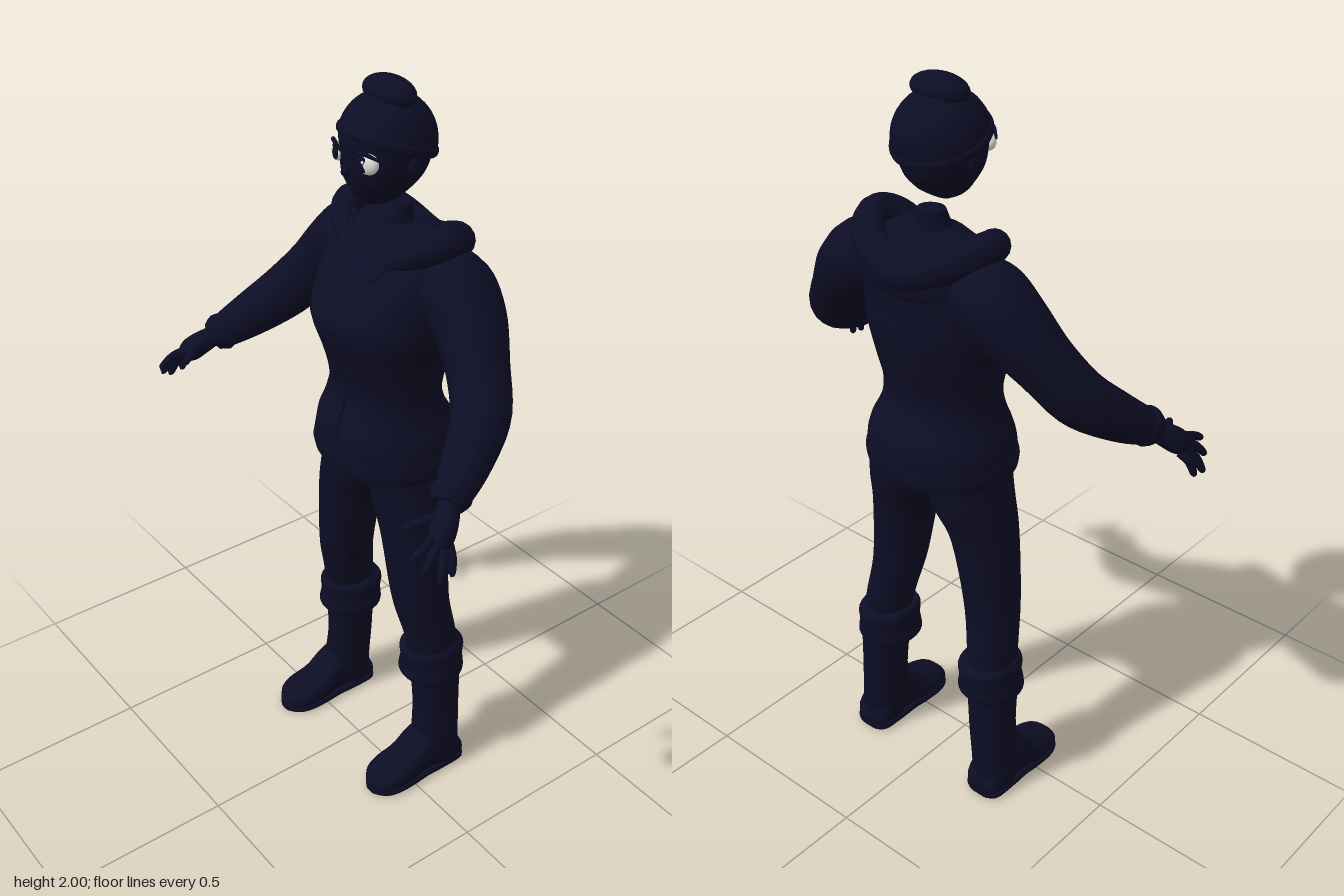
import * as THREE from 'three';
import { toCreasedNormals } from 'three/addons/utils/BufferGeometryUtils.js';

const V = (x, y, z) => new THREE.Vector3(x, y, z);
const navy = new THREE.MeshStandardMaterial({ color: 0x0d0d25 });
navy.name = 'navy';
const white = new THREE.MeshStandardMaterial({ color: 0xe6e4dc });
white.name = 'eye white';

// smooth every column of a table of sections
function spline(rows, n) {
  const curves = rows[0].map((_, k) => new THREE.SplineCurve(rows.map((r, i) => new THREE.Vector2(i, r[k]))));
  return Array.from({ length: n + 1 }, (_, i) => curves.map((c) => c.getPoint(i / n).y));
}

// skin over rings {c, u, v}, closed at both ends; e below 1 squares the rings
function loft(rings, sides = 24, e = 1) {
  const pos = [], idx = [], pw = (a) => Math.sign(a) * Math.abs(a) ** e;
  for (const { c, u, v } of rings)
    for (let j = 0; j < sides; j++) {
      const a = (j / sides) * Math.PI * 2;
      const p = c.clone().addScaledVector(u, pw(Math.cos(a))).addScaledVector(v, pw(Math.sin(a)));
      pos.push(p.x, p.y, p.z);
    }
  const last = rings.length - 1, end = rings.length * sides;
  pos.push(...rings[0].c.toArray(), ...rings[last].c.toArray());
  for (let j = 0; j < sides; j++) {
    const k = (j + 1) % sides;
    for (let i = 0; i < last; i++) {
      const a = i * sides + j, b = i * sides + k;
      idx.push(a, b, b + sides, a, b + sides, a + sides);
    }
    idx.push(end, k, j, end + 1, last * sides + j, last * sides + k);
  }
  const g = new THREE.BufferGeometry();
  g.setAttribute('position', new THREE.Float32BufferAttribute(pos, 3));
  g.setIndex(idx);
  return toCreasedNormals(g, 0.9);
}

// horizontal sections from bottom to top: [y, cx, cz, rx, rz]
const column = (rows, s = 1, n = 24, e = 0.9) =>
  loft(spline(rows, n).map(([y, x, z, rx, rz]) => ({ c: V(s * x, y, z), u: V(0, 0, rz), v: V(rx, 0, 0) })), 28, e);

// round limb along [x, y, z, r]
function limb(rows, s, ref, n = 20, sides = 16) {
  const pts = spline(rows, n).map(([x, y, z, r]) => ({ c: V(s * x, y, z), r }));
  return loft(pts.map(({ c, r }, i) => {
    const t = pts[Math.min(i + 1, n)].c.clone().sub(pts[Math.max(i - 1, 0)].c).normalize();
    const u = ref.clone().cross(t).normalize();
    return { c, u: u.clone().multiplyScalar(r), v: t.clone().cross(u).multiplyScalar(r) };
  }), sides);
}

export function createModel() {
  const model = new THREE.Group();
  const add = (name, geo, mat = navy) => {
    const m = new THREE.Mesh(geo, mat);
    m.name = name;
    model.add(m);
    return m;
  };
  const ball = (name, x, y, z, rx, ry, rz, mat) => {
    const m = add(name, new THREE.SphereGeometry(1, 24, 16), mat);
    m.position.set(x, y, z);
    m.scale.set(rx, ry, rz);
    return m;
  };

  // jacket body with flared hem and full chest
  add('jacket', column([
    [0.99, 0, -0.09, 0.195, 0.165], [1.03, 0, -0.09, 0.2, 0.172], [1.09, 0, -0.09, 0.192, 0.165],
    [1.15, 0, -0.085, 0.167, 0.14], [1.21, 0, -0.085, 0.16, 0.128], [1.3, 0, -0.085, 0.175, 0.15],
    [1.39, 0, -0.08, 0.196, 0.173], [1.45, 0, -0.088, 0.2, 0.163], [1.52, 0, -0.105, 0.2, 0.143],
    [1.59, 0, -0.12, 0.175, 0.105], [1.64, 0, -0.13, 0.1, 0.07]], 1, 44));
  add('hemBand', column([[0.985, 0, -0.09, 0.199, 0.171], [1.01, 0, -0.09, 0.205, 0.177], [1.035, 0, -0.09, 0.202, 0.174]], 1, 6));
  add('neck', column([[1.6, 0, -0.115, 0.06, 0.055], [1.65, 0, -0.115, 0.042, 0.042], [1.685, 0, -0.12, 0.036, 0.032]], 1, 8, 1));
  add('zipper', limb([[0, 1.02, 0.083, 0.006], [0, 1.12, 0.067, 0.006], [0, 1.21, 0.042, 0.006], [0, 1.3, 0.065, 0.006], [0, 1.4, 0.092, 0.007]], 1, V(1, 0, 0), 20, 8));

  // hood lying on the shoulders
  add('hoodRoll', limb([
    [-0.07, 1.56, -0.02, 0.02], [-0.15, 1.615, -0.07, 0.038], [-0.175, 1.63, -0.13, 0.042], [-0.12, 1.6, -0.205, 0.046],
    [0, 1.555, -0.228, 0.048],
    [0.12, 1.6, -0.205, 0.046], [0.175, 1.63, -0.13, 0.042], [0.15, 1.615, -0.07, 0.038], [0.07, 1.56, -0.02, 0.02]], 1, V(0, 1, 0), 48));
  ball('hoodBack', 0, 1.545, -0.185, 0.16, 0.085, 0.078).rotation.x = 0.25;

  for (const s of [1, -1]) {
    const side = s > 0 ? 'left' : 'right';
    // lapel
    add(side + 'Lapel', limb([[0.005, 1.42, 0.08, 0.008], [0.05, 1.5, 0.03, 0.018], [0.085, 1.57, -0.025, 0.022], [0.12, 1.62, -0.08, 0.02]], s, V(0, 0, 1), 14, 10));
    // sleeve
    add(side + 'Sleeve', limb([
      [0.14, 1.545, -0.14, 0.08], [0.2, 1.515, -0.14, 0.098], [0.265, 1.46, -0.13, 0.092], [0.335, 1.38, -0.1, 0.078],
      [0.405, 1.295, -0.055, 0.073], [0.455, 1.23, 0.025, 0.062], [0.49, 1.185, 0.095, 0.048], [0.502, 1.17, 0.12, 0.038]], s, V(0, 0, 1), 32, 20));
    add(side + 'SleeveCuff', limb([[0.483, 1.19, 0.09, 0.048], [0.494, 1.18, 0.107, 0.052], [0.503, 1.168, 0.125, 0.04]], s, V(0, 1, 0), 6));
    // hand
    add(side + 'Palm', limb([[0.5, 1.175, 0.115, 0.026], [0.525, 1.15, 0.145, 0.031], [0.545, 1.125, 0.175, 0.032], [0.556, 1.108, 0.195, 0.02]], s, V(1, 0, 0), 10));
    [[0.538, 1.13, 0.19, 0.55, 1.1, 0.265], [0.55, 1.12, 0.19, 0.573, 1.07, 0.25],
      [0.56, 1.11, 0.18, 0.594, 1.045, 0.215], [0.558, 1.105, 0.165, 0.592, 1.05, 0.18],
      [0.515, 1.155, 0.14, 0.478, 1.135, 0.23]].forEach(([x, y, z, X, Y, Z], i) =>
      add(side + (i < 4 ? 'Finger' : 'Thumb'), limb([[x, y, z, 0.014],
        [(x + X) / 2 + 0.006, (y + Y) / 2 + 0.006, (z + Z) / 2, 0.012], [X, Y, Z, 0.009], [X, Y - 0.003, Z + 0.003, 0.003]], s, V(1, 0, 0), 9, 10)));

    // trouser leg
    add(side + 'TrouserLeg', column([
      [0.36, 0.2, -0.11, 0.06, 0.07], [0.46, 0.19, -0.105, 0.062, 0.073], [0.6, 0.168, -0.082, 0.069, 0.08],
      [0.8, 0.14, -0.082, 0.082, 0.095], [0.92, 0.107, -0.095, 0.1, 0.115], [1.05, 0.095, -0.1, 0.095, 0.12]], s, 24));
    // boot shaft, folded cuff and foot
    add(side + 'BootShaft', column([
      [0.015, 0.216, -0.125, 0.055, 0.062], [0.1, 0.213, -0.115, 0.06, 0.068], [0.22, 0.205, -0.12, 0.06, 0.066],
      [0.38, 0.2, -0.115, 0.066, 0.072]], s, 16));
    add(side + 'BootCuff', column([
      [0.33, 0.192, -0.11, 0.08, 0.082], [0.345, 0.19, -0.11, 0.086, 0.09], [0.385, 0.189, -0.112, 0.078, 0.088],
      [0.42, 0.188, -0.112, 0.08, 0.091], [0.435, 0.188, -0.11, 0.072, 0.082]], s, 16));
    const foot = spline([[-0.19, 0.03, 0.04], [-0.17, 0.054, 0.075], [-0.1, 0.057, 0.14], [-0.045, 0.056, 0.13], [0, 0.06, 0.085],
      [0.06, 0.06, 0.068], [0.1, 0.046, 0.054], [0.122, 0.015, 0.03]], 24);
    add(side + 'Foot', loft(foot.map(([z, w, h]) => ({ c: V(s * 0.215, 0.005 + h / 2, z), u: V(w, 0, 0), v: V(0, h / 2, 0) })), 24, 0.75));
    const sole = foot.map(([z, w]) => ({ c: V(s * 0.215, 0.012, z), u: V(w + 0.002, 0, 0), v: V(0, 0.012, 0) }));
    add(side + 'Sole', loft(sole, 20, 0.5));

    // eye, pupil and brow
    ball(side + 'Eye', s * 0.058, 1.828, 0.017, 0.027, 0.026, 0.016, white).rotation.y = s * 0.45;
    ball(side + 'Pupil', s * 0.052, 1.828, 0.031, 0.017, 0.02, 0.005).rotation.y = s * 0.3;
    ball(side + 'EyeGlint', s * 0.058, 1.836, 0.0345, 0.004, 0.004, 0.003, white);
    add(side + 'UpperLash', limb([[0.026, 1.838, 0.034, 0.003], [0.056, 1.856, 0.032, 0.006], [0.09, 1.84, 0.006, 0.003]], s, V(0, 1, 0), 8, 8));
    ball(side + 'Ear', s * 0.103, 1.81, -0.085, 0.009, 0.026, 0.018);
  }

  // head with pointed chin
  add('head', column([
    [1.695, 0, -0.06, 0.012, 0.02], [1.71, 0, -0.06, 0.04, 0.05], [1.74, 0, -0.07, 0.066, 0.086], [1.78, 0, -0.077, 0.09, 0.11],
    [1.83, 0, -0.08, 0.103, 0.115], [1.88, 0, -0.083, 0.106, 0.117], [1.93, 0, -0.085, 0.08, 0.085]], 1, 28, 1));
  ball('nose', 0, 1.797, 0.036, 0.009, 0.012, 0.016);
  ball('mouth', 0, 1.753, 0.017, 0.022, 0.005, 0.008);

  // knitted cap, tilted back, with its rim and top knot
  const cap = new THREE.Group();
  cap.name = 'cap';
  const dome = new THREE.Mesh(new THREE.SphereGeometry(1, 32, 14, 0, Math.PI * 2, 0, Math.PI / 2), navy);
  dome.name = 'capDome';
  dome.scale.set(0.118, 0.118, 0.122);
  const rim = new THREE.Mesh(new THREE.TorusGeometry(0.115, 0.008, 10, 40).rotateX(Math.PI / 2), navy);
  rim.name = 'capRim';
  rim.scale.set(1, 1.6, 1.03);
  cap.add(dome, rim);
  cap.position.set(0, 1.85, -0.084);
  cap.rotation.x = -0.33;
  model.add(cap);
  ball('topKnot', 0, 1.963, -0.088, 0.082, 0.037, 0.05);
  return model;
}
